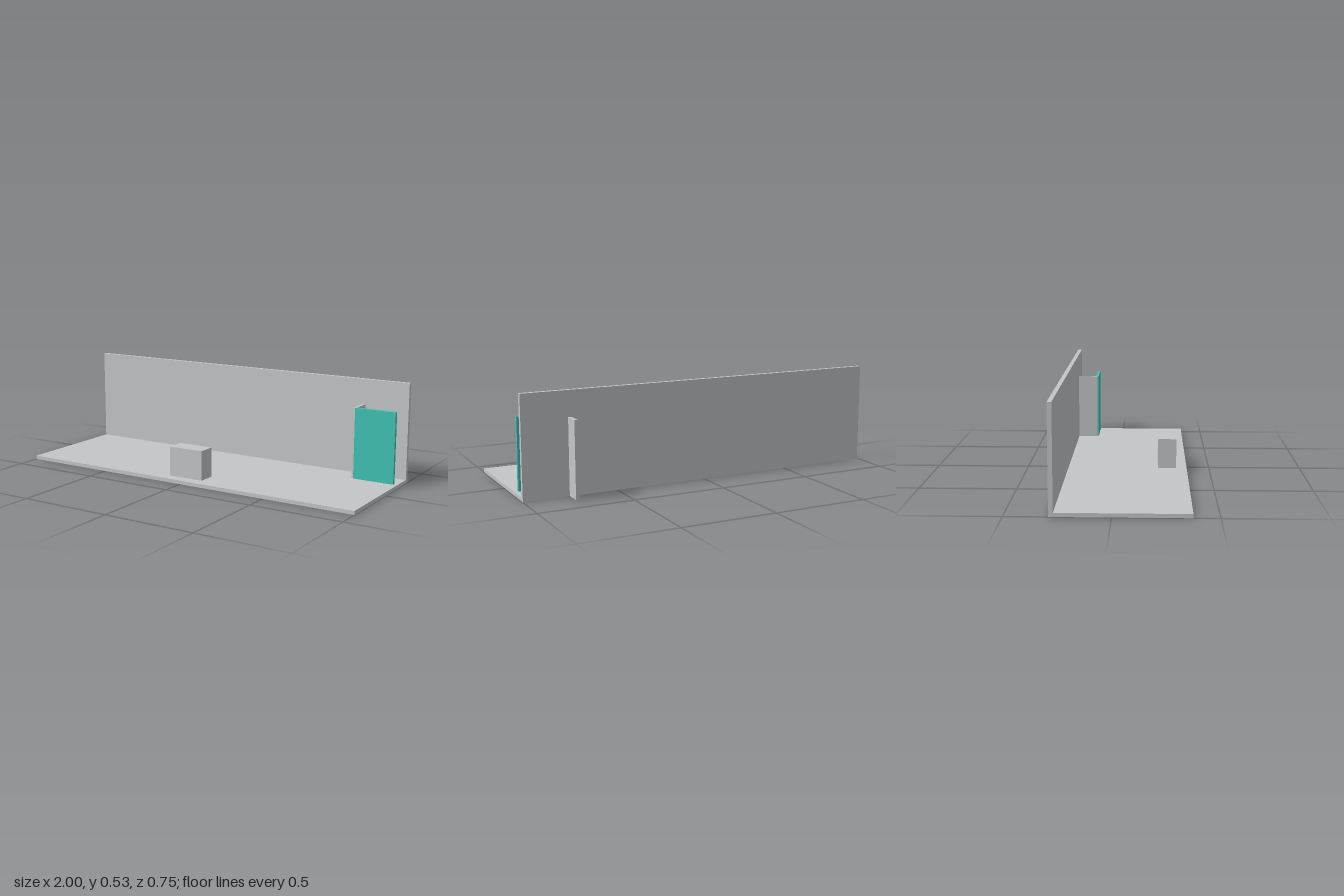
import * as THREE from 'three';

export function createModel() {
  const model = new THREE.Group();
  const grey = new THREE.MeshStandardMaterial({ color: 0xc3c6c8 });
  grey.name = 'light grey';
  const teal = new THREE.MeshStandardMaterial({ color: 0x40c2b3 });
  teal.name = 'teal';

  // Box given by its extents along x, y and z
  function addBox(name, material, [x0, x1], [y0, y1], [z0, z1]) {
    const mesh = new THREE.Mesh(new THREE.BoxGeometry(x1 - x0, y1 - y0, z1 - z0), material);
    mesh.position.set((x0 + x1) / 2, (y0 + y1) / 2, (z0 + z1) / 2);
    mesh.name = name;
    model.add(mesh);
  }

  // Ground slab with the long wall along its back edge
  addBox('floor', grey, [-1, 1], [0, 0.02], [-0.29, 0.375]);
  addBox('backWall', grey, [-1, 1], [0.02, 0.535], [-0.29, -0.268]);

  // Block standing near the front edge
  addBox('block', grey, [-0.1, 0.1], [0.02, 0.179], [0.219, 0.318]);

  // Fin passing through the wall, with the coloured panel on its front end
  addBox('fin', grey, [0.739, 0.757], [0.001, 0.4], [-0.375, -0.154]);
  addBox('panel', teal, [0.753, 0.979], [0.001, 0.401], [-0.163, -0.146]);

  return model;
}
